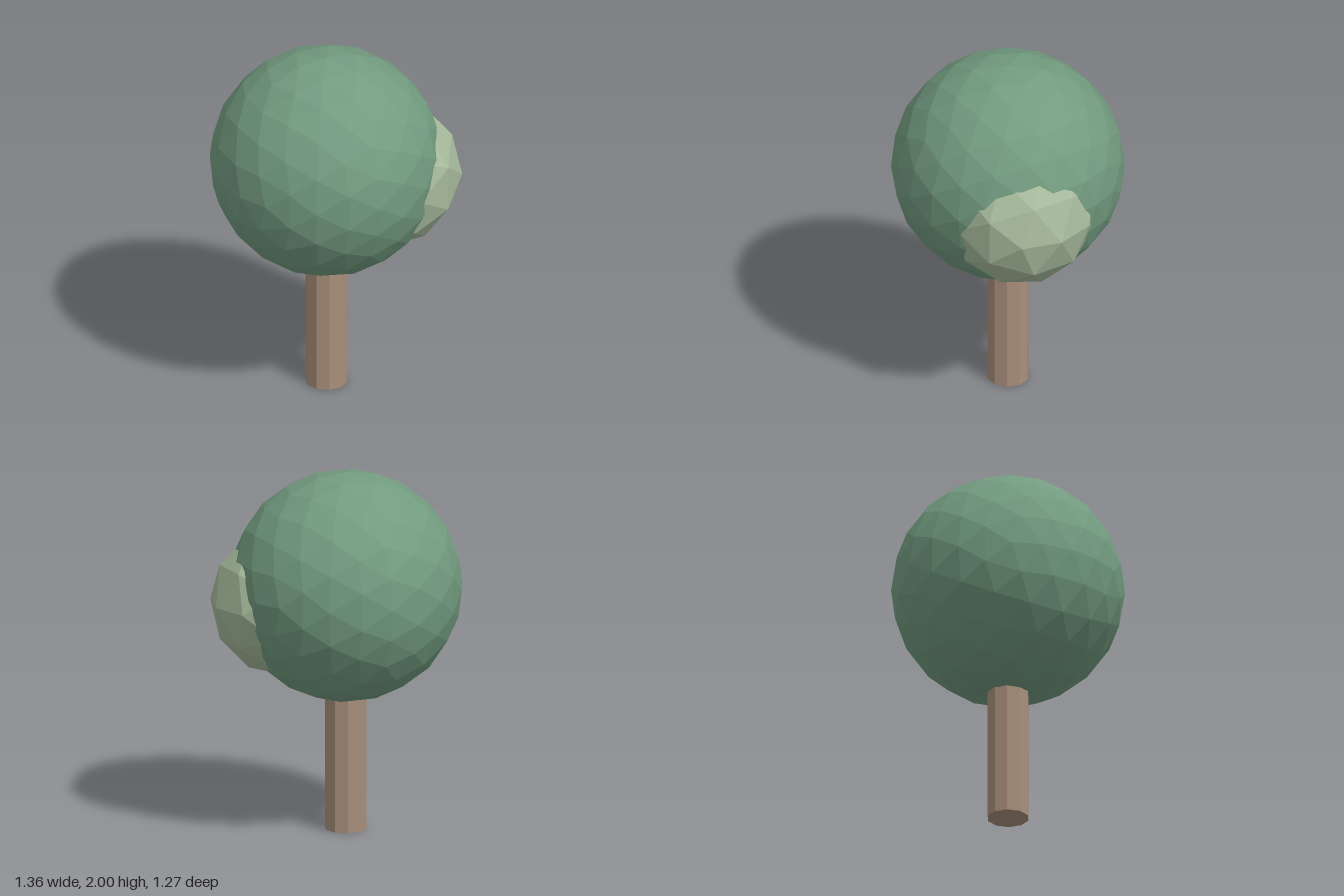
import * as THREE from 'three';

const foliageGreen = new THREE.MeshStandardMaterial({ name: 'foliageGreen', color: 0x729b7f, flatShading: true });
const paleGreen = new THREE.MeshStandardMaterial({ name: 'paleGreen', color: 0xa5b99b, flatShading: true });
const barkBrown = new THREE.MeshStandardMaterial({ name: 'barkBrown', color: 0xa88f7b, flatShading: true });

// Faceted ball: split every icosahedron triangle in four, pushing midpoints out to the sphere
function icoSphere(radius, levels) {
  const pos = new THREE.IcosahedronGeometry(1, 0).attributes.position;
  let points = Array.from({ length: pos.count }, (_, i) => new THREE.Vector3().fromBufferAttribute(pos, i));
  const mid = (p, q) => p.clone().add(q).normalize();
  for (let level = 0; level < levels; level++) {
    const next = [];
    for (let i = 0; i < points.length; i += 3) {
      const [a, b, c] = points.slice(i, i + 3);
      const ab = mid(a, b), bc = mid(b, c), ca = mid(c, a);
      next.push(a, ab, ca, ab, b, bc, ca, bc, c, ab, bc, ca);
    }
    points = next;
  }
  const geometry = new THREE.BufferGeometry().setFromPoints(points);
  geometry.scale(radius, radius, radius);
  geometry.computeVertexNormals();
  return geometry;
}

function addPart(group, name, geometry, material, x, y, z) {
  const mesh = new THREE.Mesh(geometry, material);
  mesh.name = name;
  mesh.position.set(x, y, z);
  group.add(mesh);
}

export function createModel() {
  const tree = new THREE.Group();
  tree.name = 'tree';
  const axisX = -0.043;

  // Ten-sided trunk with a corner on the x axis, its top sunk into the crown
  const trunkHeight = 0.9;
  const trunk = new THREE.CylinderGeometry(0.115, 0.115, trunkHeight, 10).rotateY(Math.PI / 2);
  addPart(tree, 'trunk', trunk, barkBrown, axisX, trunkHeight / 2, 0);

  // Main crown and the pale clump bulging from its left side
  addPart(tree, 'crown', icoSphere(0.637, 2), foliageGreen, axisX, 1.363, 0);
  addPart(tree, 'sideClump', icoSphere(0.415, 1), paleGreen, 0.262, 1.28, 0.12);

  return tree;
}
